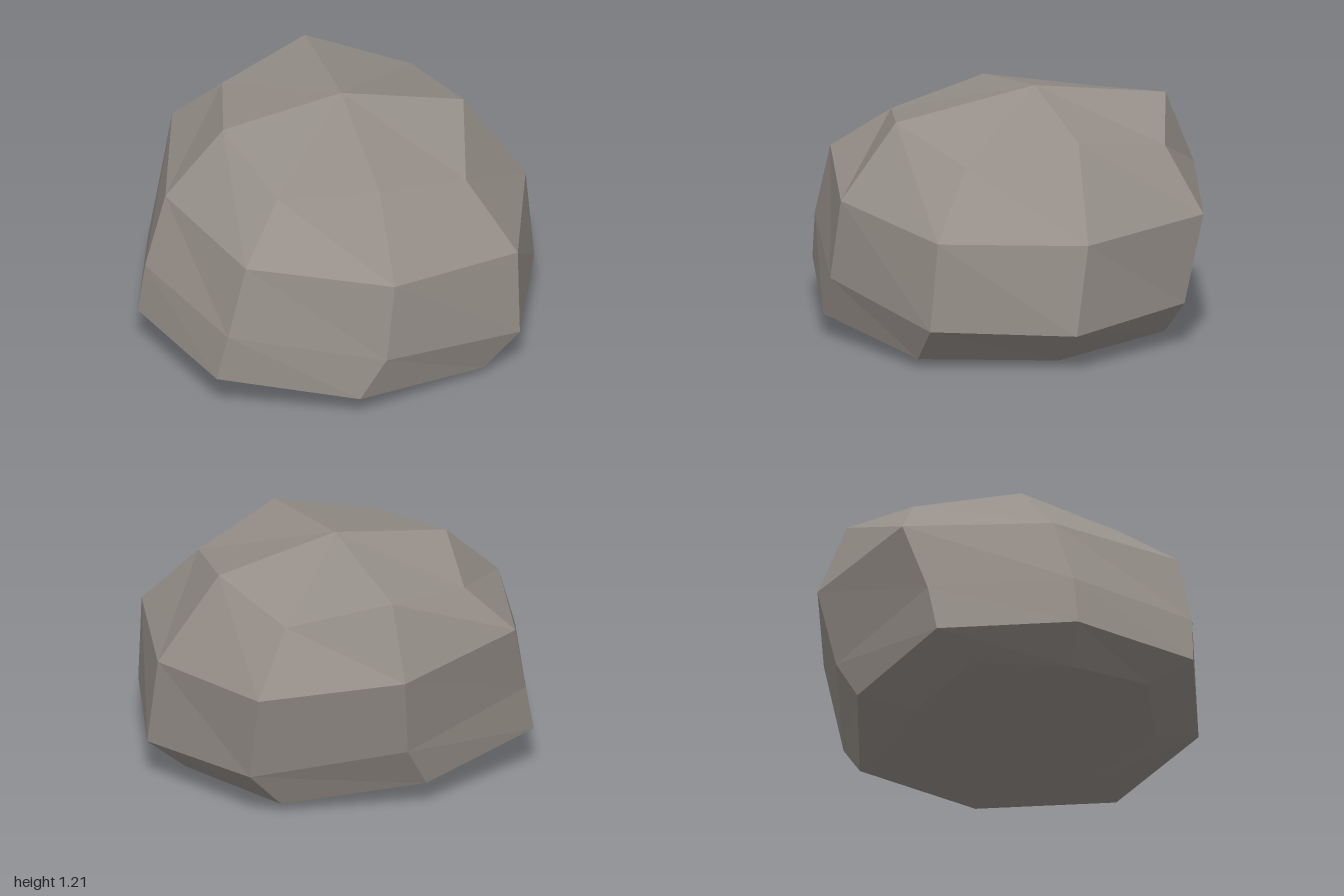
import * as THREE from 'three';

// Each ring has eight corners, built from five stations across the width.
// x, y: outer left, left corner, middle, right corner, outer right
// z: sides, front corners, front middle, back corners, back middle
const RINGS = [
  { x: [-0.53, -0.4, 0.07, 0.55, 0.68], y: [1.11, 1.03, 1.1, 0.98, 1.08], z: [-0.09, 0.45, 0.62, -0.6, -0.8] },
  { x: [-0.84, -0.62, 0.07, 0.75, 0.975], y: [0.82, 0.81, 0.735, 0.67, 0.645], z: [-0.02, 0.68, 0.91, -0.72, -0.95] },
  { x: [-0.96, -0.72, 0.02, 0.75, 1.0], y: [0.48, 0.45, 0.335, 0.23, 0.2], z: [0.05, 0.72, 0.945, -0.62, -0.87] },
  { x: [-1.0, -0.775, -0.11, 0.57, 0.79], y: [0.23, 0.21, 0.12, 0.045, 0.025], z: [0.06, 0.71, 0.93, -0.59, -0.8] },
  { x: [-0.82, -0.67, -0.22, 0.27, 0.37], y: [0.07, 0.1, 0.035, 0.02, 0], z: [0.07, 0.51, 0.68, -0.38, -0.53] },
];
const TOP = [0.07, 1.21, -0.11];
const BOTTOM = [-0.26, 0.005, 0.07];

// Corner order runs left, along the front, right, then along the back
const STATION = [0, 1, 2, 3, 4, 3, 2, 1];
const DEPTH = [0, 1, 2, 1, 0, 3, 4, 3];

function createStoneGeometry() {
  const positions = [];
  const index = [];
  for (const ring of RINGS) {
    STATION.forEach((s, i) => positions.push(ring.x[s], ring.y[s], ring.z[DEPTH[i]]));
  }
  const top = RINGS.length * 8;
  const bottom = top + 1;
  positions.push(...TOP, ...BOTTOM);

  for (let i = 0; i < 8; i++) {
    const j = (i + 1) % 8;
    // Side facets
    for (let r = 0; r < RINGS.length - 1; r++) {
      const a = r * 8, b = a + 8;
      index.push(a + i, b + i, b + j, a + i, b + j, a + j);
    }
    // Crown and underside
    const last = (RINGS.length - 1) * 8;
    index.push(top, i, j, bottom, last + j, last + i);
  }
  const geometry = new THREE.BufferGeometry();
  geometry.setAttribute('position', new THREE.Float32BufferAttribute(positions, 3));
  geometry.setIndex(index);
  const faceted = geometry.toNonIndexed();
  faceted.computeVertexNormals();
  return faceted;
}

export function createModel() {
  const group = new THREE.Group();
  group.name = 'rock';
  const stone = new THREE.MeshStandardMaterial({ color: 0x968f89, flatShading: true });
  stone.name = 'warm grey stone';
  const boulder = new THREE.Mesh(createStoneGeometry(), stone);
  boulder.name = 'boulder';
  group.add(boulder);
  return group;
}
